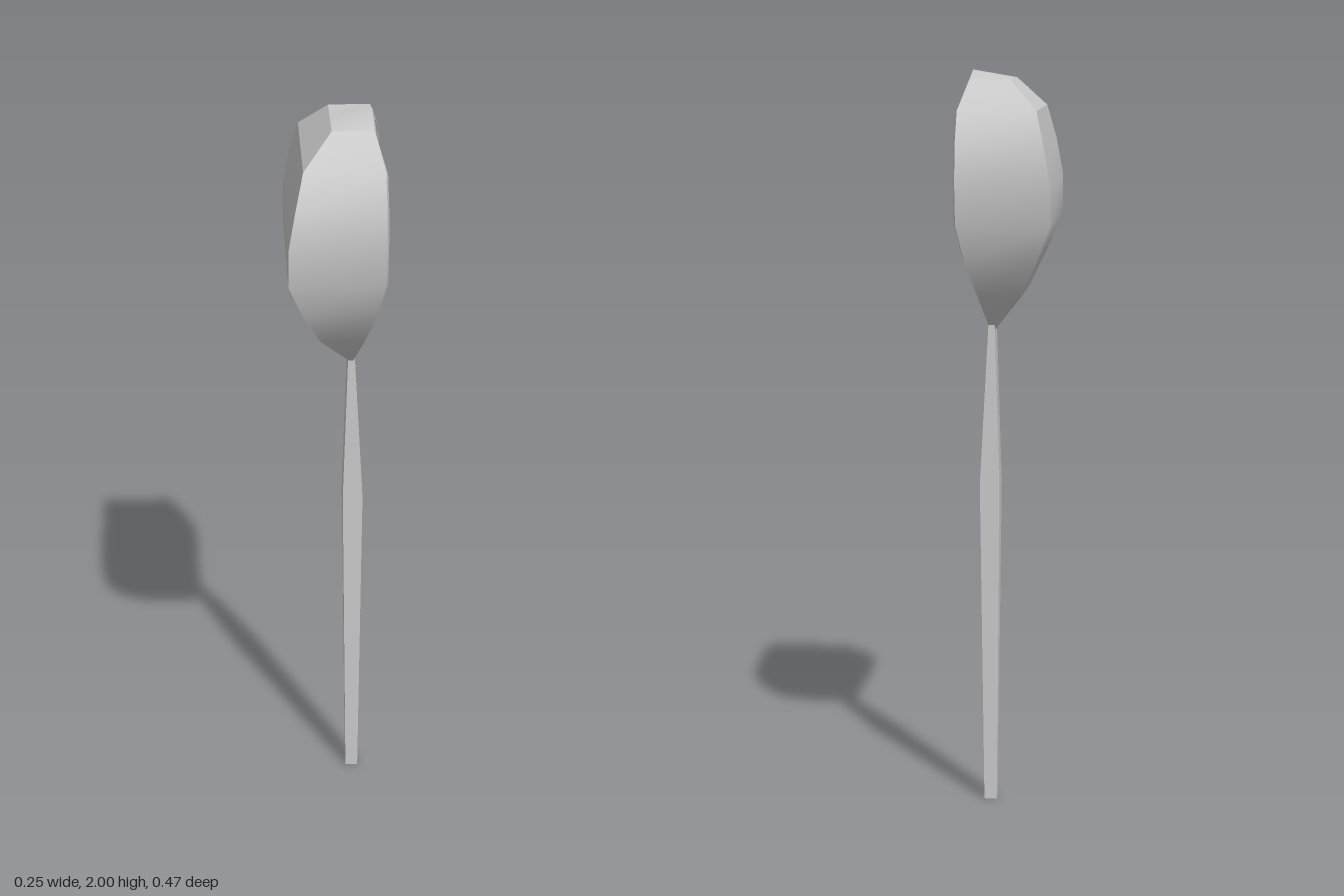
import * as THREE from 'three';
import { toCreasedNormals } from 'three/addons/utils/BufferGeometryUtils.js';

// Bowl rows from neck to crown: height, half width, back x, rim x, hollow's edge x, hollow's depth
const ROWS = [
  [1.31, 0.028, 0.035, 0.048, 0.046, 0],
  [1.41, 0.125, -0.043, 0.072, 0.04, 0.03],
  [1.51, 0.192, -0.09, 0.1, 0.035, 0.055],
  [1.605, 0.222, -0.128, 0.12, 0.03, 0.07],
  [1.71, 0.237, -0.128, 0.12, 0.028, 0.075],
  [1.81, 0.229, -0.11, 0.12, 0.025, 0.065],
  [1.9, 0.183, -0.088, 0.119, 0.022, 0.04],
  [1.977, 0.1, -0.013, 0.095, 0.022, 0],
];
const MID_Y = 1.645;

// Points up one side of an outline; s runs from 1 (left edge) to -1 (right edge)
function sideLine(s, scaleY, scaleZ, neckZ, xOf) {
  return ROWS.map((r, i) => [
    xOf(r),
    MID_Y + (r[0] - MID_Y) * scaleY,
    s * (i === 0 ? neckZ : r[1] * scaleZ),
  ]);
}

function createBowl(material) {
  const pos = [];
  const quad = (a, b, c, d) => pos.push(...a, ...b, ...c, ...a, ...c, ...d);
  const stitch = (A, B) => {
    for (let i = 0; i < A.length - 1; i++) quad(A[i], B[i], B[i + 1], A[i + 1]);
  };
  // Outline from the neck over the crown and back to the neck
  const loop = (crownY, ...args) => {
    const left = sideLine(1, ...args);
    const right = sideLine(-1, ...args);
    const crown = [left[left.length - 1][0], crownY, 0];
    return { left, right, all: [...left, crown, ...[...right].reverse()] };
  };
  const back = loop(1.977, 1, 1, 0.028, (r) => r[2]);
  const rim = loop(2, 1, 1, 0.028, (r) => r[3]);
  const lip = loop(1.978, 0.94, 0.91, 0.006, (r) => r[3] + 0.006);
  const edge = loop(1.946, 0.907, 0.8, 0.005, (r) => r[4]);

  stitch(back.all, rim.all); // outer wall
  stitch(rim.all, lip.all); // rim
  stitch(lip.all, edge.all); // inner wall
  stitch(back.right, back.left); // curved back
  quad(back.left[0], back.right[0], rim.right[0], rim.left[0]); // neck end

  // Dished hollow, built in strips from left to right
  const STRIPS = 8;
  const strip = (k) => {
    const s = 1 - (2 * k) / STRIPS;
    return sideLine(s, 0.907, 0.8, 0.005, (r) => r[4] - r[5] * (1 - s * s));
  };
  for (let k = 0; k < STRIPS; k++) stitch(strip(k), strip(k + 1));

  const geo = new THREE.BufferGeometry();
  geo.setAttribute('position', new THREE.Float32BufferAttribute(pos, 3));
  const bowl = new THREE.Mesh(toCreasedNormals(geo, 0.5), material);
  bowl.name = 'bowl';
  return bowl;
}

// Four-sided tapering handle: a box with its three rings reshaped
function createHandle(material) {
  // centre x, centre z, half x, half z, height
  const rings = [
    [0.048, -0.02, 0.017, 0.017, 0],
    [0.048, -0.017, 0.027, 0.03, 0.89],
    [0.043, -0.011, 0.008, 0.031, 1.335],
  ];
  const geo = new THREE.BoxGeometry(2, 2, 2, 1, 2, 1);
  const p = geo.attributes.position;
  for (let i = 0; i < p.count; i++) {
    const [cx, cz, hx, hz, y] = rings[Math.round(p.getY(i)) + 1];
    p.setXYZ(i, cx + p.getX(i) * hx, y, cz + p.getZ(i) * hz);
  }
  const handle = new THREE.Mesh(toCreasedNormals(geo, 0.5), material);
  handle.name = 'handle';
  return handle;
}

export function createModel() {
  const material = new THREE.MeshStandardMaterial({ color: 0xcccccc });
  const spoon = new THREE.Group();
  spoon.name = 'spoon';
  spoon.add(createBowl(material), createHandle(material));
  return spoon;
}
